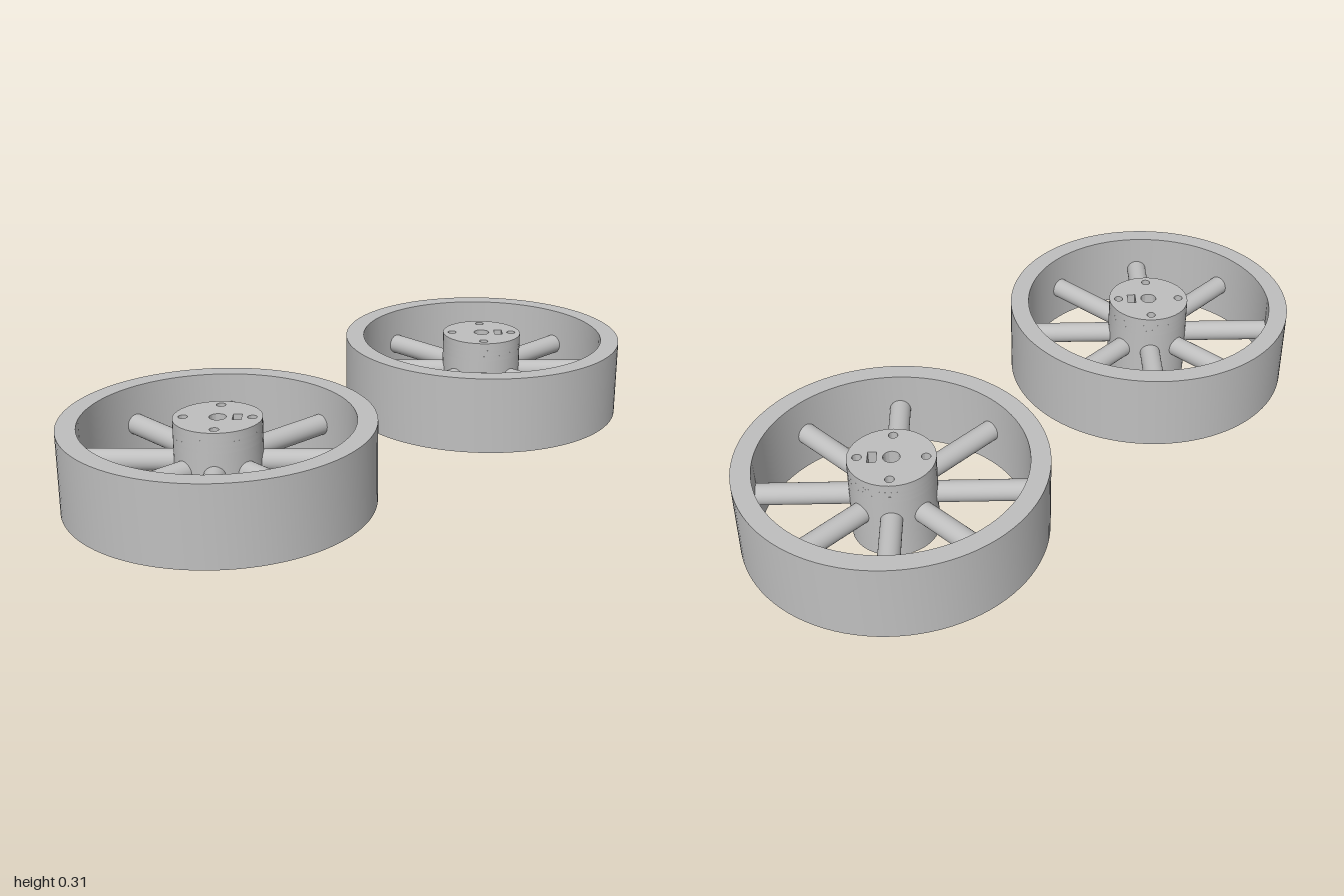
import * as THREE from 'three';
import { toCreasedNormals } from 'three/addons/utils/BufferGeometryUtils.js';

const TAU = Math.PI * 2;
const RIM = { outer: 0.53, inner: 0.462, y0: 0.01, y1: 0.295 };
const HUB = { r: 0.15, top: 0.305, bore: 0.029, pin: 0.016, pinAt: 0.115 };
const SLOT = { x0: 0.05, x1: 0.08, half: 0.027, floor: 0.234 };
const SCREW_Y = 0.265;

function circlePath(r, x = 0, y = 0, Type = THREE.Path) {
  const p = new Type();
  p.absarc(x, y, r, 0, TAU, false);
  return p;
}

// Upright solid from a plan outline, between two heights
function slab(shape, y0, y1, segments = 24) {
  const g = new THREE.ExtrudeGeometry(shape, { depth: y1 - y0, bevelEnabled: false, curveSegments: segments });
  g.rotateX(-Math.PI / 2).translate(0, y0, 0);
  return toCreasedNormals(g, 0.5);
}

// Hub plan with bore, four pin holes and optionally the nut slot
function hubPlan(withSlot) {
  const s = circlePath(HUB.r, 0, 0, THREE.Shape);
  s.holes.push(circlePath(HUB.bore));
  for (let i = 0; i < 4; i++) {
    const a = i * Math.PI / 2;
    s.holes.push(circlePath(HUB.pin, Math.cos(a) * HUB.pinAt, Math.sin(a) * HUB.pinAt));
  }
  if (withSlot) {
    const { x0, x1, half: h } = SLOT;
    s.holes.push(new THREE.Path([[x0, -h], [x1, -h], [x1, h], [x0, h]].map(p => new THREE.Vector2(...p))));
  }
  return s;
}

// Hub plan at the set screw: a channel of half width w runs from the bore to the outside
function channelPlan(w) {
  const { x0, x1, half: h } = SLOT;
  const a = Math.asin(w / HUB.r), b = Math.asin(w / HUB.pin), c = Math.asin(w / HUB.bore);
  const s = new THREE.Shape();
  s.absarc(0, 0, HUB.r, a, TAU - a, false);
  s.absarc(HUB.pinAt, 0, HUB.pin, -b, b - Math.PI, true);
  for (const [x, y] of [[x1, -w], [x1, -h], [x0, -h], [x0, -w]]) s.lineTo(x, y);
  s.absarc(0, 0, HUB.bore, -c, c - TAU, true);
  for (const [x, y] of [[x0, w], [x0, h], [x1, h], [x1, w]]) s.lineTo(x, y);
  s.absarc(HUB.pinAt, 0, HUB.pin, Math.PI - b, b, true);
  s.closePath();
  for (let i = 1; i < 4; i++) {
    const t = i * Math.PI / 2;
    s.holes.push(circlePath(HUB.pin, Math.cos(t) * HUB.pinAt, Math.sin(t) * HUB.pinAt));
  }
  return s;
}

function buildWheel(material) {
  const wheel = new THREE.Group();
  const add = (geometry, name, parent = wheel) => {
    const m = new THREE.Mesh(geometry, material);
    m.name = name;
    parent.add(m);
    return m;
  };

  // Rim
  const ring = circlePath(RIM.outer, 0, 0, THREE.Shape);
  ring.holes.push(circlePath(RIM.inner));
  add(slab(ring, RIM.y0, RIM.y1, 48), 'rim');

  // Hub, in layers so the slot and screw hole are real openings
  const hub = new THREE.Group();
  hub.name = 'hub';
  wheel.add(hub);
  add(slab(hubPlan(false), 0, SLOT.floor), 'hubBody', hub);
  add(slab(hubPlan(true), SLOT.floor, SCREW_Y - 0.012), 'hubSlotLayer', hub);
  for (const [w, lo, hi] of [[0.008, -0.012, -0.007], [0.012, -0.007, 0.007], [0.008, 0.007, 0.012]]) {
    add(slab(channelPlan(w), SCREW_Y + lo, SCREW_Y + hi), 'hubScrewLayer', hub);
  }
  add(slab(hubPlan(true), SCREW_Y + 0.012, HUB.top), 'hubTop', hub);

  // V-shaped floor of the nut slot
  const h = SLOT.half;
  const vee = new THREE.Shape([[-h, -0.002], [h, -0.002], [h, 0.0156], [0, 0], [-h, 0.0156]].map(p => new THREE.Vector2(...p)));
  const floor = new THREE.ExtrudeGeometry(vee, { depth: SLOT.x1 - SLOT.x0, bevelEnabled: false });
  floor.rotateY(Math.PI / 2).translate(SLOT.x0, SLOT.floor, 0);
  add(floor, 'nutSlotFloor', hub);

  // Eight round spokes
  const spoke = new THREE.CylinderGeometry(0.0375, 0.0375, 0.332, 32);
  spoke.rotateZ(Math.PI / 2).translate(0.306, 0.1525, 0);
  for (let i = 0; i < 8; i++) add(spoke, 'spoke').rotation.y = i * TAU / 8;
  return wheel;
}

export function createModel() {
  const model = new THREE.Group();
  model.name = 'wheelPair';
  const grey = new THREE.MeshStandardMaterial({ color: 0xbfbfbf });
  grey.name = 'grey';
  for (const [name, side] of [['leftWheel', 1], ['rightWheel', -1]]) {
    const wheel = buildWheel(grey);
    wheel.name = name;
    wheel.position.set(0.47 * side, 0, -0.47 * side);
    model.add(wheel);
  }
  return model;
}
